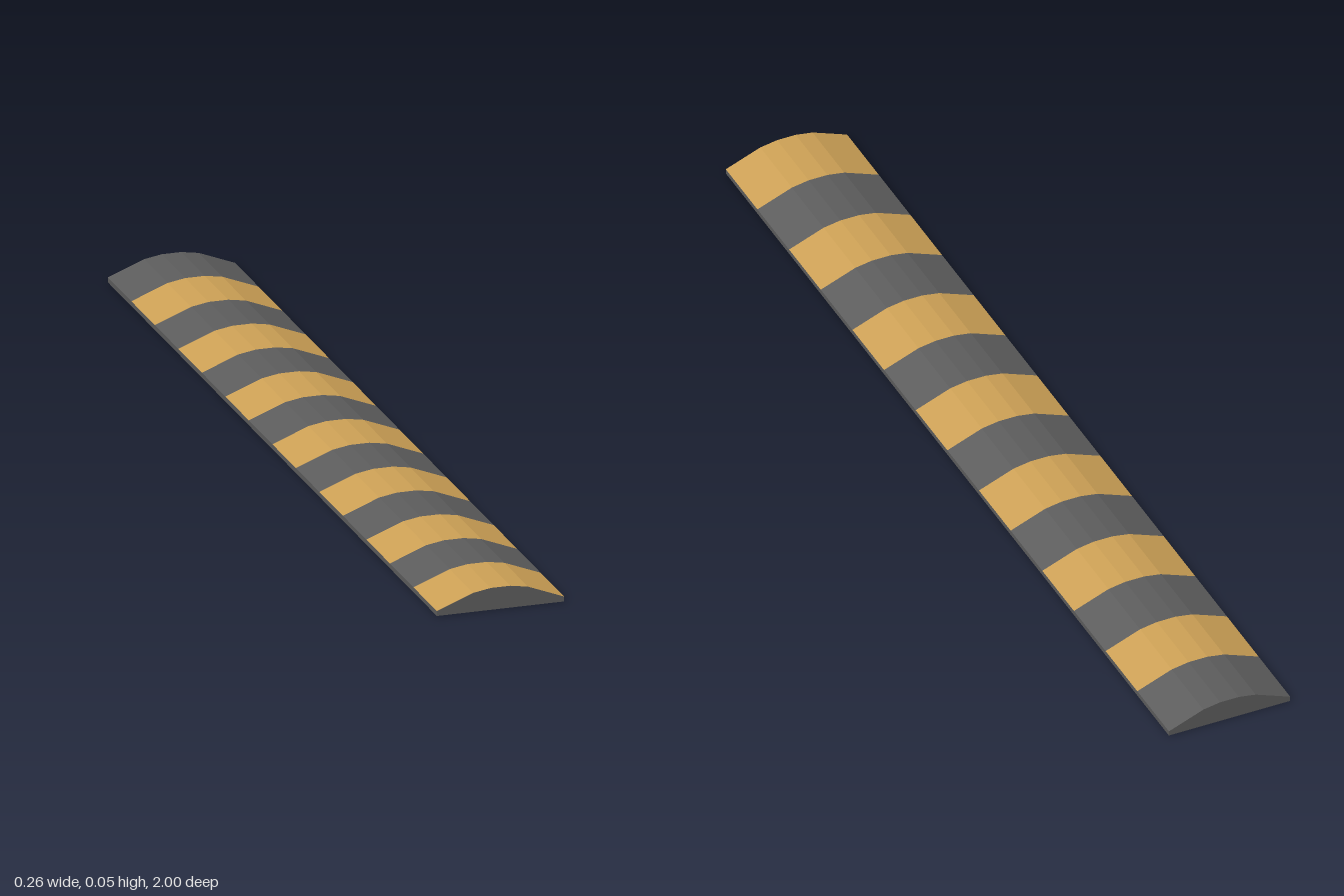
import * as THREE from 'three';

const LENGTH = 2, BANDS = 14, EDGE = 0.01;
// Crown of the cross-section, from -x to +x
const CROWN = [[-0.13, EDGE], [-0.056, 0.039], [-0.02, 0.045], [0.02, 0.045], [0.056, 0.039], [0.13, EDGE]];

const rubber = new THREE.MeshStandardMaterial({ color: 0x5c5c5c, flatShading: true });
const yellow = new THREE.MeshStandardMaterial({ color: 0xcca055, flatShading: true });

// One strip of the ramp surface, bent to follow the crown
function bandGeometry(length) {
  const geometry = new THREE.PlaneGeometry(1, length, CROWN.length - 1, 1).rotateX(-Math.PI / 2);
  const pos = geometry.attributes.position;
  for (let i = 0; i < pos.count; i++) {
    const [x, y] = CROWN[i % CROWN.length];
    pos.setXY(i, x, y);
  }
  geometry.computeVertexNormals();
  return geometry;
}

export function createModel() {
  const group = new THREE.Group();
  group.name = 'speedBump';

  function add(name, geometry, material, y = 0, z = 0) {
    const mesh = new THREE.Mesh(geometry, material);
    mesh.name = name;
    mesh.position.set(0, y, z);
    group.add(mesh);
    return mesh;
  }

  // Thin base with the low vertical side edges
  add('base', new THREE.BoxGeometry(0.26, EDGE, LENGTH), rubber, EDGE / 2);

  // Alternating dark and yellow bands, dark at the back and yellow at the front
  const step = LENGTH / BANDS;
  const band = bandGeometry(step);
  for (let i = 0; i < BANDS; i++) {
    const isYellow = i % 2 === 1;
    add(isYellow ? 'yellowBand' : 'darkBand', band, isYellow ? yellow : rubber, 0, -LENGTH / 2 + (i + 0.5) * step);
  }

  // Dark end faces closing the crown
  const endFace = new THREE.ShapeGeometry(new THREE.Shape(CROWN.map(([x, y]) => new THREE.Vector2(x, y))));
  add('frontEnd', endFace, rubber, 0, LENGTH / 2);
  add('backEnd', endFace, rubber, 0, -LENGTH / 2).rotation.y = Math.PI;

  return group;
}
